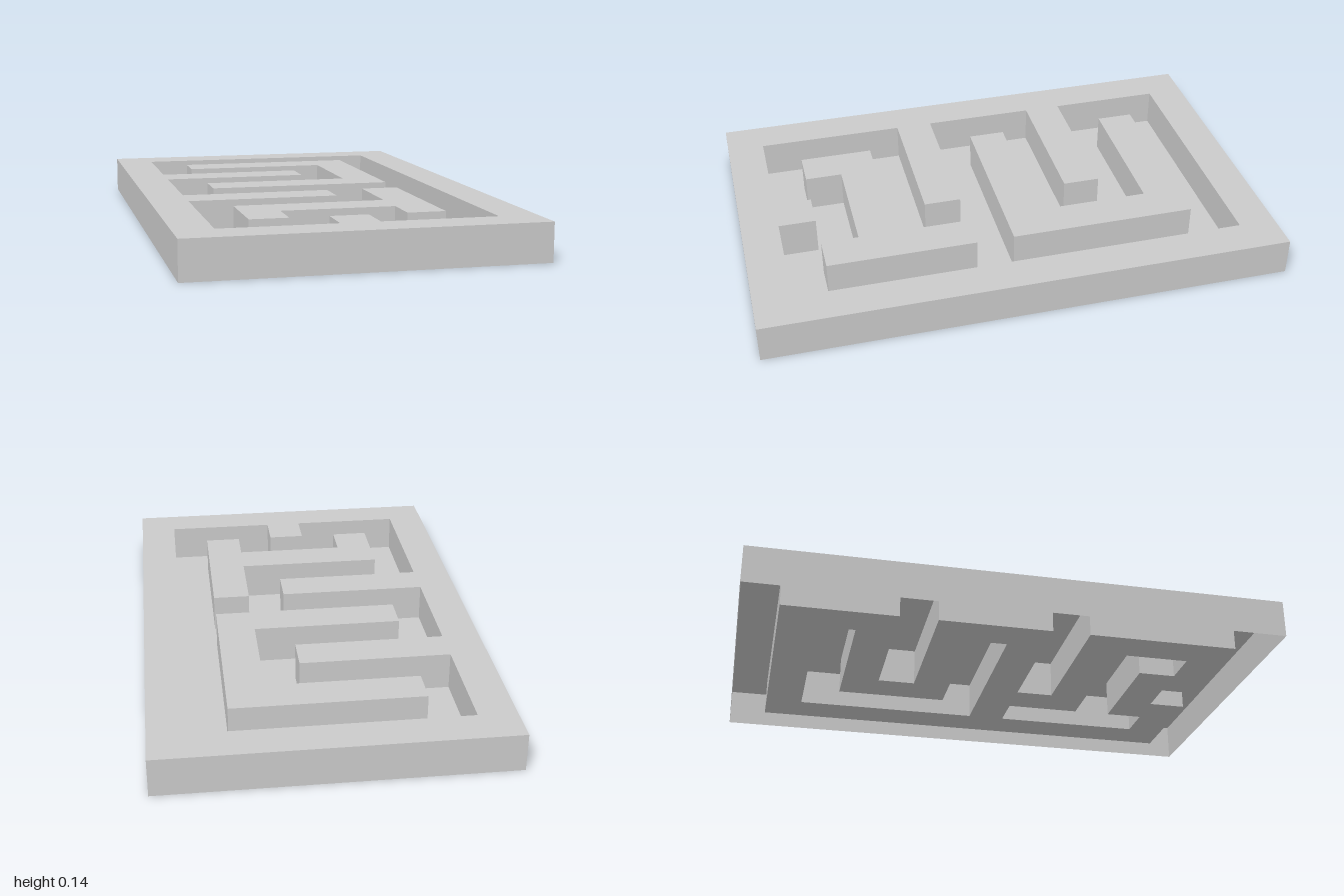
import * as THREE from 'three';

const CELL = 1 / 7; // one maze cell, also the wall height and thickness

// Outlines as [x, z] in cells
const OUTER = [[-4.5, -7], [4.5, -7], [4.5, 7], [-4.5, 7]];
const CORRIDOR = [
  [-3.5, -6], [3.5, -6], [3.5, 6], [0.5, 6], [0.5, 5], [-0.5, 5], [-0.5, 6], [-3.5, 6],
  [-3.5, 2], [0.5, 2], [0.5, 1], [-3.5, 1], [-3.5, -2], [0.5, -2], [0.5, -3], [-3.5, -3],
];
const BACK_ISLAND = [
  [-2.5, -5], [2.5, -5], [2.5, 0], [-2.5, 0], [-2.5, -1], [1.5, -1], [1.5, -4], [-2.5, -4],
];
const FRONT_ISLAND = [
  [-2.5, 3], [1.5, 3], [1.5, 1], [2.5, 1], [2.5, 5], [1.5, 5], [1.5, 4], [-1.5, 4],
  [-1.5, 5], [-2.5, 5],
];

// Plan points, with shape y = -z, running counterclockwise
function plan(outline) {
  const pts = outline.map(([x, z]) => new THREE.Vector2(x * CELL, -z * CELL));
  return THREE.ShapeUtils.isClockWise(pts) ? pts.reverse() : pts;
}

// Flat horizontal face at height y
function slab(outline, holes, y) {
  const shape = new THREE.Shape(plan(outline));
  shape.holes = holes.map((h) => new THREE.Path(plan(h)));
  return new THREE.ShapeGeometry(shape).rotateX(-Math.PI / 2).translate(0, y, 0);
}

// Upright faces along an outline, facing outwards, or inwards for a recess
function walls(outline, inward = false) {
  const pts = plan(outline);
  if (inward) pts.reverse();
  const pos = [];
  pts.forEach((a, i) => {
    const b = pts[(i + 1) % pts.length];
    const a0 = [a.x, 0, -a.y], a1 = [a.x, CELL, -a.y];
    const b0 = [b.x, 0, -b.y], b1 = [b.x, CELL, -b.y];
    pos.push(...a0, ...b0, ...b1, ...a0, ...b1, ...a1);
  });
  const geo = new THREE.BufferGeometry();
  geo.setAttribute('position', new THREE.Float32BufferAttribute(pos, 3));
  geo.computeVertexNormals();
  return geo;
}

export function createModel() {
  const model = new THREE.Group();
  model.name = 'mazeTray';
  const material = new THREE.MeshStandardMaterial({
    color: 0xcccccc, flatShading: true, side: THREE.DoubleSide,
  });
  const add = (name, geometry) => {
    const mesh = new THREE.Mesh(geometry, material);
    mesh.name = name;
    model.add(mesh);
  };

  // Outer frame with its inward spurs, hollow and open underneath
  add('frameTop', slab(OUTER, [CORRIDOR], CELL));
  add('frameSides', walls(OUTER));
  add('corridorWalls', walls(CORRIDOR, true));

  // Free-standing inner walls, also hollow underneath
  [['backIsland', BACK_ISLAND], ['frontIsland', FRONT_ISLAND]].forEach(([name, outline]) => {
    add(name + 'Top', slab(outline, [], CELL));
    add(name + 'Sides', walls(outline));
  });

  // Thin corridor floor, left out below the walls
  add('corridorFloor', slab(CORRIDOR, [BACK_ISLAND, FRONT_ISLAND], 0));

  return model;
}
